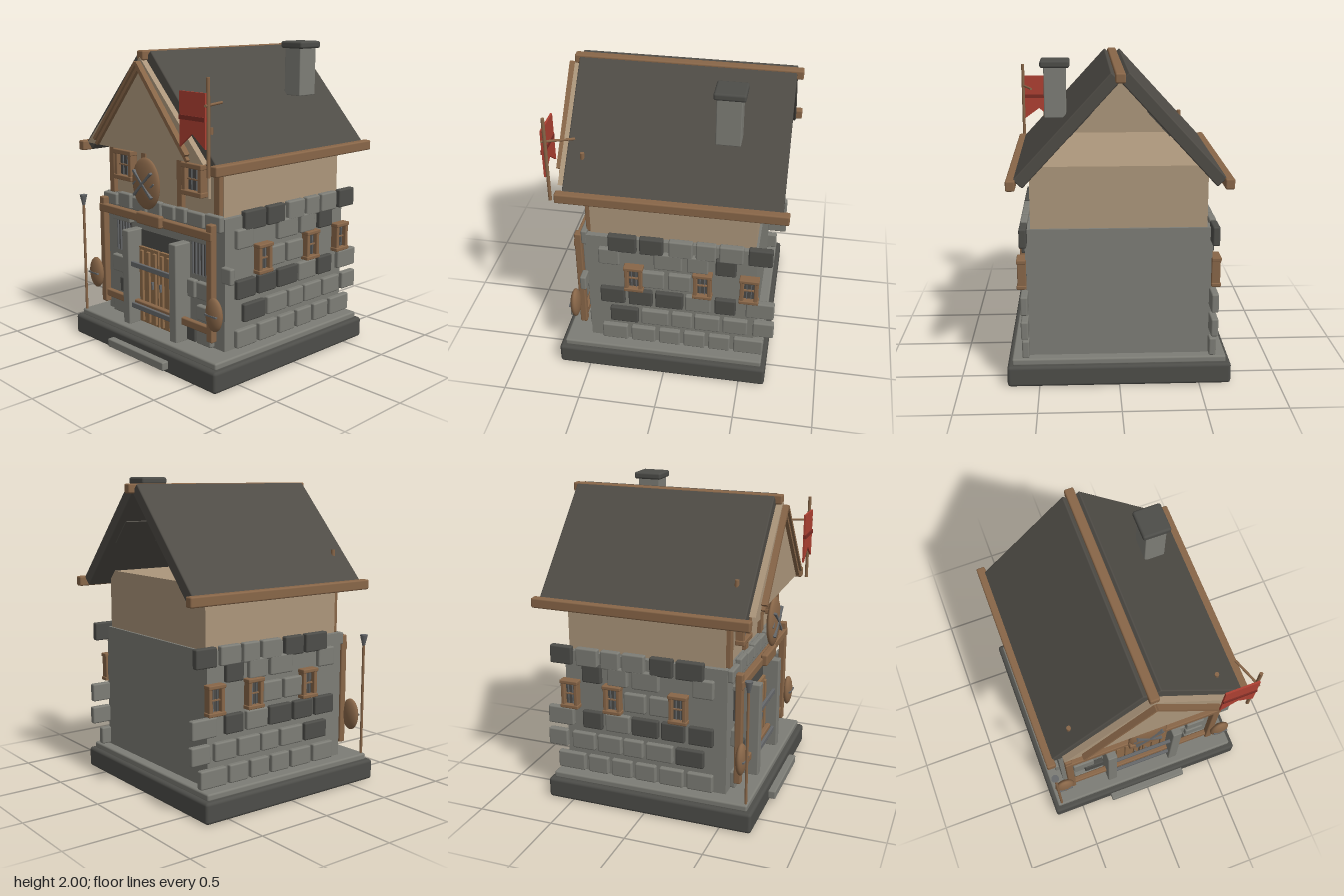
import * as THREE from 'three';
import { RoundedBoxGeometry } from 'three/addons/geometries/RoundedBoxGeometry.js';

const mat = (name, color, side = THREE.FrontSide) => {
  const m = new THREE.MeshStandardMaterial({ color, side });
  m.name = name;
  return m;
};

export function createModel() {
  const stone = mat('stone', 0x7d7d76), darkStone = mat('dark stone', 0x4d4d49);
  const plaster = mat('plaster', 0xac967b), wood = mat('wood', 0x886648);
  const doorWood = mat('door wood', 0x8f6c4a), slate = mat('slate', 0x4f4c46);
  const iron = mat('iron', 0x66686a), pane = mat('window pane', 0x4b4a47);
  const red = mat('flag red', 0xae4032), darkRed = mat('dark red', 0x7d2c24);

  const house = new THREE.Group();
  house.name = 'house';

  const add = (parent, name, geo, m) => {
    const mesh = new THREE.Mesh(geo, m);
    mesh.name = name;
    parent.add(mesh);
    return mesh;
  };
  // Box given by its extents, with an optional rounded edge
  const box = (parent, name, m, x0, x1, y0, y1, z0, z1, r = 0) => {
    const w = x1 - x0, h = y1 - y0, d = z1 - z0;
    const geo = r ? new RoundedBoxGeometry(w, h, d, 2, r) : new THREE.BoxGeometry(w, h, d);
    const mesh = add(parent, name, geo, m);
    mesh.position.set((x0 + x1) / 2, (y0 + y1) / 2, (z0 + z1) / 2);
    return mesh;
  };
  const rod = (name, m, a, b, r0, r1 = r0, sides = 10) => {
    const from = new THREE.Vector3(...a), to = new THREE.Vector3(...b);
    const dir = to.clone().sub(from);
    const mesh = add(house, name, new THREE.CylinderGeometry(r1, r0, dir.length(), sides), m);
    mesh.position.copy(from).add(to).multiplyScalar(0.5);
    mesh.quaternion.setFromUnitVectors(new THREE.Vector3(0, 1, 0), dir.normalize());
    return mesh;
  };
  // Framed window facing +z, its back at z = 0
  const makeWindow = (name, w, h, t) => {
    const g = new THREE.Group();
    g.name = name;
    const x = w / 2, y = h / 2;
    box(g, 'pane', pane, -x + t / 2, x - t / 2, -y + t / 2, y - t / 2, -0.01, 0.015);
    for (const s of [-1, 1]) {
      const cx = s * (x - t / 2), cy = s * (y - t / 2);
      box(g, 'frameSide', wood, cx - t / 2, cx + t / 2, -y, y, -0.01, 0.045, 0.006);
      box(g, 'frameRail', wood, -x - 0.005, x + 0.005, cy - t / 2, cy + t / 2, -0.01, 0.05, 0.006);
      box(g, 'bar', iron, s * x * 0.25 - 0.003, s * x * 0.25 + 0.003, -y + t, y - t, 0, 0.022);
    }
    box(g, 'crossBar', wood, -x + t, x - t, -0.004, 0.004, 0, 0.028);
    house.add(g);
    return g;
  };

  // Base and walls
  box(house, 'base', darkStone, -0.7, 0.7, 0, 0.135, -0.67, 0.705, 0.02);
  box(house, 'plinth', stone, -0.67, 0.67, 0.13, 0.175, -0.64, 0.67, 0.012);
  box(house, 'frontStep', stone, -0.28, 0.28, 0.03, 0.085, 0.65, 0.75, 0.008);
  box(house, 'lowerWall', stone, -0.575, 0.575, 0.17, 1.0, -0.575, 0.505);
  box(house, 'upperWall', plaster, -0.54, 0.54, 1.0, 1.385, -0.56, 0.48);

  // Side stones: each row has a y range, then [z front, z back, dark]
  const sideRows = [
    [0.18, 0.295, [[0.425, 0.255], [0.23, 0.07], [0.045, -0.095], [-0.12, -0.26], [-0.285, -0.425], [-0.45, -0.64]]],
    [0.335, 0.45, [[0.365, 0.18, 1], [0.16, -0.02], [-0.04, -0.175], [-0.19, -0.355], [-0.375, -0.535], [-0.57, -0.705]]],
    [0.49, 0.61, [[0.425, 0.265, 1], [0.24, 0.085, 1], [0.065, -0.115, 1], [-0.13, -0.295], [-0.32, -0.455, 1], [-0.52, -0.7]]],
    [0.645, 0.77, [[0.155, 0.005], [-0.02, -0.165]]],
    [0.805, 0.925, [[0.425, 0.29], [0.07, -0.11], [-0.14, -0.275], [-0.32, -0.45, 1]]],
    [0.91, 1.03, [[0.36, 0.18, 1], [0.16, 0.01, 1], [-0.025, -0.175], [-0.195, -0.32], [-0.34, -0.49], [-0.52, -0.67, 1]]],
  ];
  for (const s of [-1, 1]) {
    for (const [y0, y1, blocks] of sideRows) {
      for (const [z1, z0, dark] of blocks) {
        const b = box(house, 'sideStone', dark ? darkStone : stone, 0.56, 0.605, y0, y1, z0, z1, 0.01);
        b.position.x *= s;
      }
    }
    // Side windows
    for (const z of [0.2, -0.24, -0.535]) {
      const w = makeWindow('sideWindow', 0.115, 0.19, 0.025);
      w.position.set(s * 0.58, 0.715, z);
      w.rotation.y = s * Math.PI / 2;
    }
  }

  // Front stones: [x0, x1, y0, y1, dark]
  const frontStones = [
    [-0.41, -0.285, 0.92, 1.02], [-0.26, -0.125, 0.92, 1.01], [-0.11, 0.02, 0.92, 1.015], [0.035, 0.15, 0.92, 1.01],
    [0.165, 0.255, 0.92, 1.015], [0.275, 0.42, 0.92, 1.01], [0.435, 0.57, 0.92, 1.02], [-0.57, -0.43, 0.92, 1.0],
    [-0.49, -0.34, 0.465, 0.58], [0.27, 0.34, 0.465, 0.58], [0.355, 0.485, 0.47, 0.58],
    [-0.41, -0.27, 0.335, 0.435, 1], [0.355, 0.485, 0.335, 0.43], [-0.49, -0.34, 0.18, 0.29],
    [0.265, 0.345, 0.18, 0.29, 1], [0.355, 0.485, 0.18, 0.29], [0.575, 0.66, 0.62, 0.72],
  ];
  for (const [x0, x1, y0, y1, dark] of frontStones)
    box(house, 'frontStone', dark ? darkStone : stone, x0, x1, y0, y1, 0.5, 0.54, 0.01);

  // Double door with planks, handles and iron bars
  box(house, 'doorRecess', darkStone, -0.2, 0.2, 0.175, 0.8, 0.5, 0.515);
  for (const s of [-1, 1]) {
    const a = s < 0 ? -0.2 : 0.008;
    box(house, 'doorLeaf', doorWood, a, a + 0.192, 0.178, 0.69, 0.51, 0.535);
    for (const x of [0.035, 0.1, 0.165])
      box(house, 'doorPlank', doorWood, s * x - 0.014, s * x + 0.014, 0.19, 0.67, 0.53, 0.55, 0.004);
    box(house, 'doorHandle', iron, s * 0.04 - 0.005, s * 0.04 + 0.005, 0.435, 0.485, 0.545, 0.565);
    box(house, 'doorPillar', stone, s * 0.233 - 0.033, s * 0.233 + 0.033, 0.17, 0.805, 0.5, 0.625, 0.008);
    // Barred openings beside the door
    box(house, 'grilleBack', pane, s * 0.375 - 0.072, s * 0.375 + 0.072, 0.62, 0.83, 0.5, 0.515);
    box(house, 'grilleLintel', stone, s * 0.375 - 0.092, s * 0.375 + 0.092, 0.828, 0.862, 0.5, 0.545, 0.006);
    for (let i = -2; i <= 2; i++)
      rod('grilleBar', iron, [s * 0.375 + i * 0.03, 0.62, 0.525], [s * 0.375 + i * 0.03, 0.83, 0.525], 0.007, 0.007, 8);
  }
  for (const y of [0.303, 0.583])
    box(house, 'doorBar', iron, -0.21, 0.21, y - 0.017, y + 0.017, 0.585, 0.605, 0.004);

  // Timber frame around the entrance
  box(house, 'frameTopBeam', wood, -0.55, 0.55, 0.875, 0.93, 0.55, 0.595, 0.008);
  box(house, 'frameLowBeam', wood, -0.55, 0.55, 0.285, 0.335, 0.545, 0.58, 0.008);
  box(house, 'nameBoard', wood, -0.115, 0.115, 0.875, 0.953, 0.58, 0.625, 0.012);
  for (const s of [-1, 1])
    box(house, 'framePost', wood, s * 0.525 - 0.025, s * 0.525 + 0.025, 0.245, 0.975, 0.545, 0.59, 0.008);

  // Upper timbers and windows
  for (const x of [-0.51, -0.175, 0.175, 0.51])
    box(house, 'upperPost', wood, x - 0.025, x + 0.025, 1.0, 1.36, 0.47, 0.51, 0.005);
  for (const s of [-1, 1])
    makeWindow('frontWindow', 0.175, 0.2, 0.032).position.set(s * 0.335, 1.21, 0.51);
  box(house, 'windowBacking', plaster, -0.43, 0.43, 1.1, 1.32, 0.47, 0.5);

  // Roof slabs, with tile plates on the underside
  const L = Math.hypot(0.575, 0.622), angle = Math.atan2(0.622, 0.575);
  for (const s of [-1, 1]) {
    const slope = new THREE.Group();
    slope.name = 'roofSlope';
    slope.position.set(s * 0.052, 1.963, 0);
    slope.rotation.set(0, s < 0 ? Math.PI : 0, -s * angle * s);
    slope.rotation.order = 'YXZ';
    house.add(slope);
    const zs = s; // the turned slope has its z reversed
    box(slope, 'roofSlab', slate, 0, L, -0.075, 0, ...(zs > 0 ? [-0.71, 0.62] : [-0.62, 0.71]), 0.008);
    for (let i = 0; i < 4; i++) {
      const z = zs * (-0.56 + i * 0.3);
      box(slope, 'roofTile', slate, 0.25, 0.44, -0.083, -0.07, z - 0.1, z + 0.1);
    }
    box(house, 'eaveBeam', wood, s * 0.64 - 0.028, s * 0.64 + 0.028, 1.283, 1.347, -0.75, 0.66, 0.01);
    // Barge boards, doubled in depth
    for (const [off, z] of [[0, 0.68], [-0.024, 0.67]])
      for (const b of [rodBoard(s, off, z)]) house.add(b);
    rod('roofPeg', wood, [s * 0.473, 1.45, 0.52], [s * 0.473, 1.535, 0.52], 0.014);
  }
  function rodBoard(s, off, z) {
    const len = Math.hypot(0.44, 0.51);
    const b = new THREE.Mesh(new THREE.BoxGeometry(len, 0.02, off ? 0.03 : 0.04), wood);
    b.name = 'bargeBoard';
    b.position.set(s * 0.22, 1.64 + off * 1.4, z);
    b.rotation.z = -s * Math.atan2(0.51, 0.44);
    return b;
  }
  box(house, 'ridgeBeam', wood, -0.03, 0.03, 1.905, 1.963, -0.75, 0.66, 0.01);

  // Front gable
  const tri = new THREE.Shape([[-0.56, 1.345], [0.56, 1.345], [0, 1.925]].map((p) => new THREE.Vector2(...p)));
  add(house, 'frontGable', new THREE.ExtrudeGeometry(tri, { depth: 0.04, bevelEnabled: false }), plaster).position.z = 0.622;

  // Chimney
  box(house, 'chimney', stone, 0.313, 0.445, 1.655, 1.965, -0.43, -0.28, 0.006);
  box(house, 'chimneyCap', darkStone, 0.29, 0.467, 1.955, 2.0, -0.452, -0.263, 0.014);

  // Shields
  const shield = (name, x, y, z, rx, ry, rz) => {
    const m = add(house, name, new THREE.SphereGeometry(1, 24, 14), wood);
    m.position.set(x, y, z);
    m.scale.set(rx, ry, rz);
  };
  shield('largeShield', 0, 1.148, 0.628, 0.13, 0.163, 0.033);
  for (const s of [-1, 1]) {
    const b = box(house, 'shieldCross', iron, -0.115, 0.115, 1.141, 1.155, 0.648, 0.668);
    b.rotation.z = s * 0.75;
    for (const y of [1.148])
      box(house, 'shieldMark', iron, s * 0.085 - 0.02, s * 0.085 + 0.02, y - 0.005, y + 0.005, 0.64, 0.656).rotation.z = 0.7;
    shield('smallShield', s * 0.585, 0.44, 0.602, 0.068, 0.105, 0.032);
    box(house, 'smallShieldBand', iron, s * 0.585 - 0.05, s * 0.585 + 0.05, 0.435, 0.445, 0.61, 0.637);
  }

  // Spear with a flared head
  rod('spearShaft', wood, [-0.64, 0.175, 0.655], [-0.64, 0.92, 0.655], 0.009);
  rod('spearHead', iron, [-0.64, 0.89, 0.655], [-0.64, 0.98, 0.655], 0.005, 0.026, 8);

  // Flag on its pole
  rod('flagPole', wood, [0.635, 1.285, 0.69], [0.635, 1.845, 0.69], 0.011);
  rod('flagBrace', wood, [0.57, 1.69, 0.525], [0.638, 1.69, 0.715], 0.008);
  const cloth = new THREE.Shape(
    [[0.42, 1.76], [0.42, 1.44], [0.525, 1.525], [0.635, 1.445], [0.635, 1.76]].map((p) => new THREE.Vector2(...p)));
  add(house, 'flag', new THREE.ExtrudeGeometry(cloth, { depth: 0.012, bevelEnabled: false }), red).position.z = 0.703;
  box(house, 'flagStripe', darkRed, 0.42, 0.635, 1.6, 1.625, 0.701, 0.722);
  return house;
}
